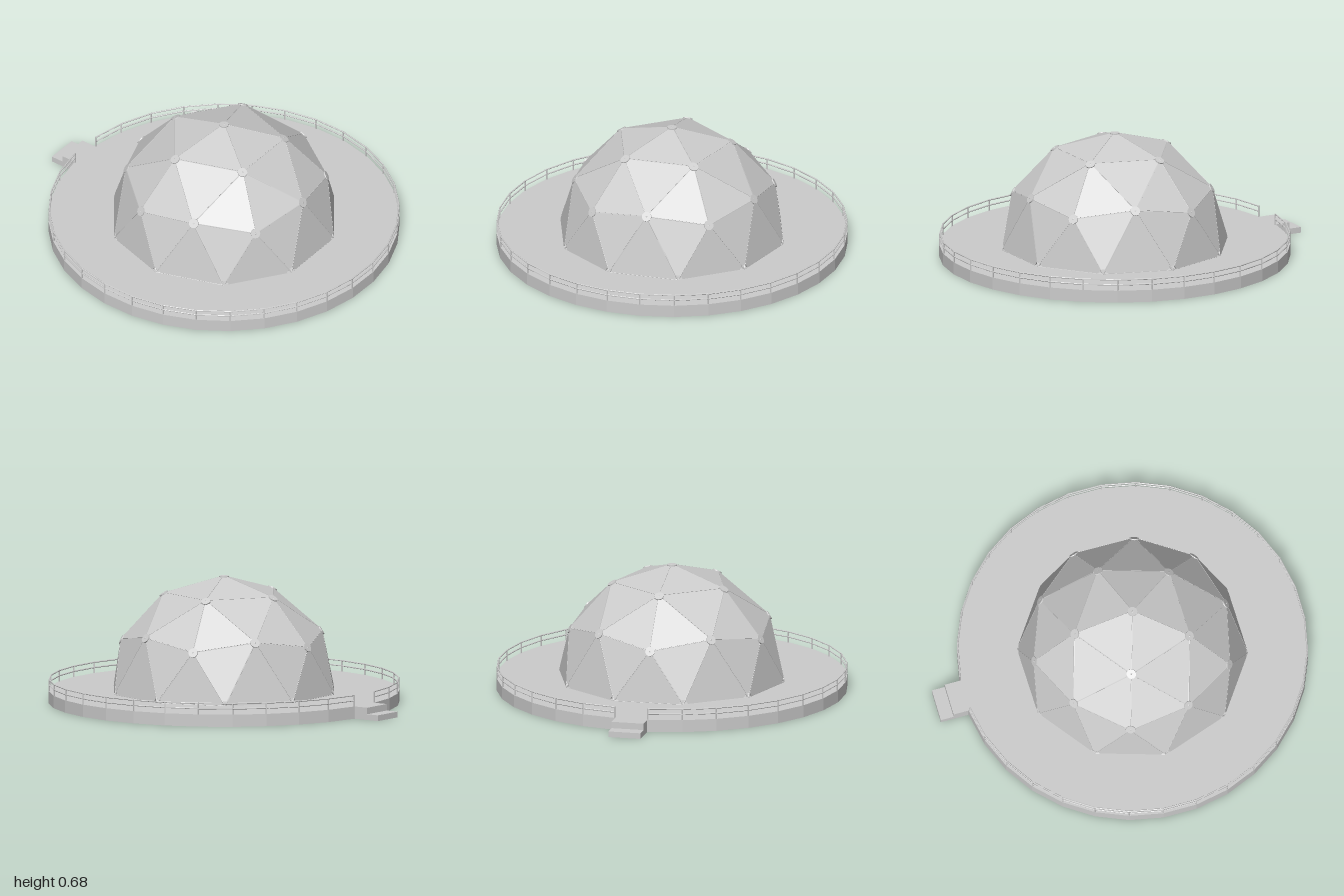
import * as THREE from 'three';

const CZ = 0.062;        // centre of deck and dome along z
const DECK_R = 0.937, DECK_H = 0.066, SIDES = 32;
const DOME_R = 0.617;
const HUB_R = 0.026;
const UP = new THREE.Vector3(0, 1, 0);
const grey = new THREE.MeshStandardMaterial({ color: 0xcccccc, flatShading: true, side: THREE.DoubleSide });

function add(parent, name, geometry) {
  const mesh = new THREE.Mesh(geometry, grey);
  mesh.name = name;
  parent.add(mesh);
  return mesh;
}

// Thin round bar between two points
function bar(parent, name, a, b, r, sides = 6) {
  const d = b.clone().sub(a);
  const mesh = add(parent, name, new THREE.CylinderGeometry(r, r, d.length(), sides));
  mesh.position.copy(a).add(b).multiplyScalar(0.5);
  mesh.quaternion.setFromUnitVectors(UP, d.normalize());
  return mesh;
}

// Point on the dome sphere: polar angle from the top, azimuth from +x (degrees)
function onDome(polar, azimuth) {
  const p = THREE.MathUtils.degToRad(polar), a = THREE.MathUtils.degToRad(azimuth);
  return new THREE.Vector3(Math.sin(p) * Math.cos(a), Math.cos(p), Math.sin(p) * Math.sin(a)).multiplyScalar(DOME_R);
}

// Triangles of a two-frequency geodesic hemisphere
function domeFaces() {
  const top = onDome(0, 0), faces = [];
  for (let k = 0; k < 5; k++) {
    const a = 36 + 72 * k;
    const m = onDome(31.717, a), m2 = onDome(31.717, a + 72);
    const o = onDome(63.435, a), o2 = onDome(63.435, a + 72);
    const e = onDome(58.283, a + 36);
    const q0 = onDome(90, a - 18), q1 = onDome(90, a + 18), q2 = onDome(90, a + 54);
    faces.push([top, m, m2], [m, o, e], [m, e, m2], [e, o2, m2],
      [o, q1, q0], [o, e, q1], [e, q2, q1], [e, o2, q2]);
  }
  // make every triangle wind outward
  for (const f of faces) {
    const n = f[1].clone().sub(f[0]).cross(f[2].clone().sub(f[0]));
    if (n.dot(f[0]) < 0) f.reverse();
  }
  return faces;
}

// Triangular panel with cut corners, a narrow gap around it and some thickness
function panelGeometry(face) {
  const centre = new THREE.Vector3().add(face[0]).add(face[1]).add(face[2]).divideScalar(3);
  const outer = [];
  for (let i = 0; i < 3; i++) {
    const v = face[i], prev = face[(i + 2) % 3], next = face[(i + 1) % 3];
    for (const other of [prev, next]) {
      const dir = other.clone().sub(v).normalize();
      outer.push(v.clone().addScaledVector(dir, HUB_R * 0.9).lerp(centre, 0.025));
    }
  }
  const inner = outer.map(p => p.clone().multiplyScalar(0.985));
  const pos = [];
  const tri = (...ps) => ps.forEach(p => pos.push(p.x, p.y, p.z));
  for (let i = 0; i < 6; i++) {
    const j = (i + 1) % 6;
    if (i > 0 && i < 5) {
      tri(outer[0], outer[i], outer[j]);
      tri(inner[0], inner[j], inner[i]);
    }
    tri(outer[i], inner[i], inner[j]);
    tri(outer[i], inner[j], outer[j]);
  }
  const g = new THREE.BufferGeometry();
  g.setAttribute('position', new THREE.Float32BufferAttribute(pos, 3));
  g.computeVertexNormals();
  return g;
}

function buildDome() {
  const dome = new THREE.Group();
  dome.name = 'dome';
  dome.position.set(0, DECK_H, CZ);
  const hubs = new Map(), struts = new Map();
  const key = v => v.toArray().map(n => Math.round(n * 1000) + 0).join(',');

  for (const face of domeFaces()) {
    add(dome, 'domePanel', panelGeometry(face));
    face.forEach((v, i) => {
      const w = face[(i + 1) % 3];
      hubs.set(key(v), v);
      struts.set([key(v), key(w)].sort().join('|'), [v, w]);
    });
  }
  // Frame bars behind the panel gaps
  for (const [a, b] of struts.values()) {
    bar(dome, 'strut', a.clone().multiplyScalar(0.992), b.clone().multiplyScalar(0.992), 0.004);
  }
  // Round connector plates, open along the ground ring
  for (const v of hubs.values()) {
    if (v.y < 0.01) continue;
    const hub = add(dome, 'hub', new THREE.CylinderGeometry(HUB_R, HUB_R, 0.008, 12));
    hub.position.copy(v).multiplyScalar(0.989);
    hub.quaternion.setFromUnitVectors(UP, v.clone().normalize());
  }
  return dome;
}

function buildRailing() {
  const railing = new THREE.Group();
  railing.name = 'railing';
  railing.position.z = CZ;
  const r = DECK_R - 0.004;
  // Corner 0 is at the back; corners run towards -x, and the gap lies between 1 and 2
  const corner = (i, y) => {
    const a = i * Math.PI * 2 / SIDES;
    return new THREE.Vector3(-Math.sin(a) * r, y, -Math.cos(a) * r);
  };
  for (let i = 0; i < SIDES; i++) {
    bar(railing, 'railPost', corner(i, DECK_H - 0.002), corner(i, 0.127), 0.004);
    if (i === 1) continue;
    for (const y of [0.097, 0.125]) bar(railing, 'rail', corner(i, y), corner(i + 1, y), 0.004);
  }
  return railing;
}

function buildSteps() {
  const steps = new THREE.Group();
  steps.name = 'steps';
  steps.position.z = CZ;
  steps.rotation.y = 1.5 * Math.PI * 2 / SIDES;
  // inner distance, outer distance, height of each tread
  for (const [from, to, h] of [[0.92, 1.016, DECK_H], [1.016, 1.087, 0.031]]) {
    add(steps, 'step', new THREE.BoxGeometry(0.176, h, to - from)).position.set(0, h / 2, -(from + to) / 2);
  }
  return steps;
}

export function createModel() {
  const model = new THREE.Group();
  model.name = 'geodesicDome';
  add(model, 'deck', new THREE.CylinderGeometry(DECK_R, DECK_R, DECK_H, SIDES)).position.set(0, DECK_H / 2, CZ);
  model.add(buildDome(), buildRailing(), buildSteps());
  return model;
}
